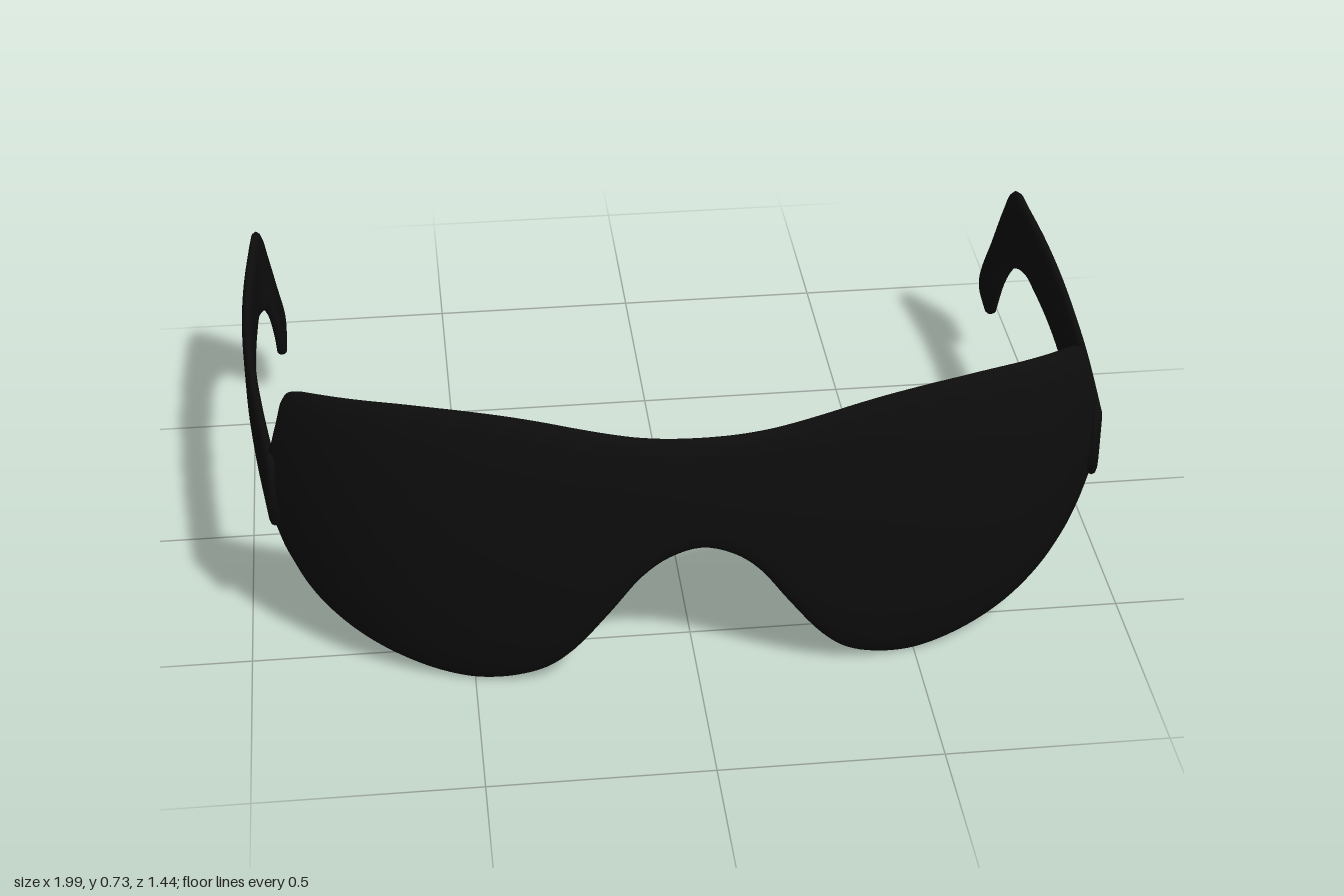
import * as THREE from 'three';

// Skin a list of equal-length closed loops, capping both ends.
function loft(loops) {
  const n = loops[0].length, pos = [], idx = [];
  loops.forEach(l => l.forEach(p => pos.push(p.x, p.y, p.z)));
  for (let i = 0; i < loops.length - 1; i++) {
    for (let j = 0; j < n; j++) {
      const a = i * n + j, b = i * n + (j + 1) % n;
      idx.push(a, b, a + n, b, b + n, a + n);
    }
  }
  [0, loops.length - 1].forEach((k, end) => {
    const c = pos.length / 3;
    const mid = loops[k].reduce((s, p) => s.add(p), new THREE.Vector3()).divideScalar(n);
    pos.push(mid.x, mid.y, mid.z);
    for (let j = 0; j < n; j++) {
      const a = k * n + j, b = k * n + (j + 1) % n;
      if (end) idx.push(a, b, c); else idx.push(b, a, c);
    }
  });
  // Turn the faces outward if the enclosed volume is negative.
  const v = i => new THREE.Vector3().fromArray(pos, i * 3);
  let volume = 0;
  for (let i = 0; i < idx.length; i += 3) volume += v(idx[i]).dot(v(idx[i + 1]).cross(v(idx[i + 2])));
  if (volume < 0) idx.reverse();
  const g = new THREE.BufferGeometry();
  g.setAttribute('position', new THREE.Float32BufferAttribute(pos, 3));
  g.setIndex(idx);
  g.computeVertexNormals();
  return g;
}

// Flat rounded section: u runs along its height (-1..1), t across its thickness (-1..1).
function section(place, rows = 14) {
  const loop = [];
  for (let j = 0; j < rows * 2; j++) {
    const a = (j / rows) * Math.PI, u = -Math.cos(a);
    const t = Math.sqrt(Math.max(0, 1 - u ** 8)) * (j < rows ? 1 : -1);
    loop.push(place(u, t));
  }
  return loop;
}

const spline = pts => new THREE.CatmullRomCurve3(pts.map(p => new THREE.Vector3(...p)), false, 'centripetal');

// Point on the wrapped shield, sunk by depth behind its outer face.
function shieldPoint(x, y, depth) {
  const ax = Math.abs(x);
  const s = 0.3 * ax + 1.32 * ax ** 5, len = Math.hypot(s, 1);
  const d = (0.2 + 0.3 * ax ** 4) * (y - 0.46) ** 2;
  const xs = ax + d * s / len;
  const z = 0.717 - 0.15 * xs ** 2 - 0.22 * xs ** 6 - (d + depth) / len;
  return new THREE.Vector3(Math.sign(x) * (ax - depth * s / len), y, z);
}

function shieldGeometry() {
  // x, top edge, bottom edge
  const half = [
    [0.07, 0.662, 0.36], [0.13, 0.668, 0.31], [0.2, 0.68, 0.21], [0.28, 0.697, 0.1],
    [0.34, 0.71, 0.045], [0.41, 0.722, 0.016], [0.49, 0.731, 0.004], [0.56, 0.735, 0.011],
    [0.65, 0.735, 0.036], [0.75, 0.725, 0.08], [0.83, 0.71, 0.135], [0.87, 0.697, 0.18],
    [0.895, 0.675, 0.225], [0.912, 0.615, 0.265], [0.925, 0.56, 0.31], [0.937, 0.525, 0.345]];
  const curve = spline([...half.map(([x, a, b]) => [-x, a, b]).reverse(), [0, 0.66, 0.382], ...half]);
  const loops = [];
  for (let i = 0; i <= 128; i++) {
    const { x, y: top, z: bottom } = curve.getPoint(i / 128);
    loops.push(section((u, t) =>
      shieldPoint(x, (top + bottom) / 2 + u * (top - bottom) / 2, 0.0175 * (1 - t))));
  }
  return loft(loops);
}

function armGeometry(side) {
  // Matching points along the upper and lower edges, ending in the ear hook
  const upper = spline([
    [0.925, 0.53, 0.46], [0.956, 0.515, 0.2], [0.974, 0.503, 0], [0.983, 0.501, -0.2],
    [0.98, 0.508, -0.36], [0.97, 0.517, -0.5], [0.965, 0.52, -0.57], [0.961, 0.502, -0.605],
    [0.955, 0.445, -0.638], [0.938, 0.32, -0.682], [0.922, 0.2, -0.722], [0.922, 0.165, -0.71]]);
  const lower = spline([
    [0.925, 0.345, 0.46], [0.956, 0.338, 0.2], [0.974, 0.335, 0], [0.983, 0.337, -0.2],
    [0.98, 0.342, -0.36], [0.972, 0.346, -0.45], [0.952, 0.338, -0.5], [0.94, 0.31, -0.52],
    [0.93, 0.27, -0.535], [0.923, 0.21, -0.555], [0.922, 0.165, -0.575], [0.922, 0.145, -0.6]]);
  const loops = [];
  for (let i = 0; i <= 66; i++) {
    const a = lower.getPoint(i / 66), b = upper.getPoint(i / 66);
    loops.push(section((u, t) => {
      const p = a.clone().lerp(b, (u + 1) / 2);
      p.x = side * (p.x + t * 0.013);
      return p;
    }, 10));
  }
  return loft(loops);
}

export function createModel() {
  const model = new THREE.Group();
  model.name = 'sunglasses';
  const black = new THREE.MeshStandardMaterial({ color: 0x0d0d0d });
  black.name = 'black';
  const add = (name, geometry) => {
    const mesh = new THREE.Mesh(geometry, black);
    mesh.name = name;
    model.add(mesh);
  };
  add('shieldLens', shieldGeometry());
  add('leftArm', armGeometry(1));
  add('rightArm', armGeometry(-1));
  return model;
}
